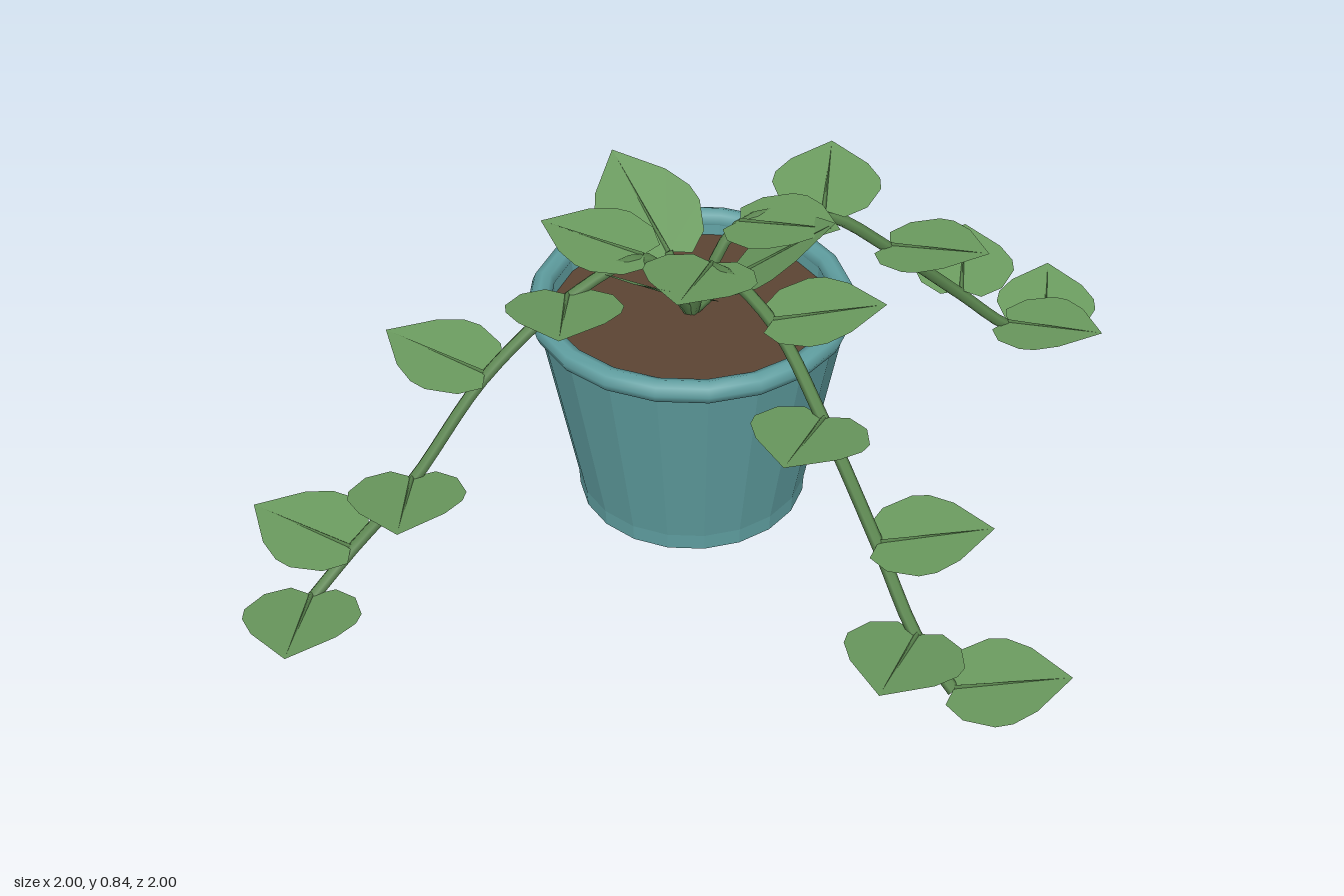
import * as THREE from 'three';

const mat = (name, color, opts = {}) => {
  const m = new THREE.MeshStandardMaterial({ color, ...opts });
  m.name = name;
  return m;
};

const CX = -0.045, CZ = -0.058; // pot axis
const SIDES = 20;
const V = (p) => new THREE.Vector3(...p);

// Heart-shaped leaf in the xz plane, stalk at the origin, tip towards +z
function leafGeometry() {
  const half = [[0, 0], [0.055, -0.022], [0.11, 0.015], [0.14, 0.085], [0.135, 0.125], [0.1, 0.18], [0, 0.265]];
  const fold = 0.06;
  const pos = [];
  for (const s of [1, -1]) {
    for (let i = 1; i < half.length - 1; i++) {
      const [a, b] = [half[i], half[i + 1]];
      const tri = [[0, 0], a, b].map(([x, z]) => [s * x, fold * x, z]);
      if (s > 0) tri.reverse();
      pos.push(...tri.flat());
    }
  }
  const g = new THREE.BufferGeometry();
  g.setAttribute('position', new THREE.Float32BufferAttribute(pos, 3));
  // keep the upper side facing +y
  g.computeVertexNormals();
  if (g.attributes.normal.getY(0) < 0) {
    const p = g.attributes.position, t = new THREE.Vector3(), u = new THREE.Vector3();
    for (let i = 0; i < p.count; i += 3) {
      t.fromBufferAttribute(p, i);
      u.fromBufferAttribute(p, i + 2);
      p.setXYZ(i, u.x, u.y, u.z);
      p.setXYZ(i + 2, t.x, t.y, t.z);
    }
    g.computeVertexNormals();
  }
  return g;
}

export function createModel() {
  const root = new THREE.Group();
  root.name = 'pottedTrailingPlant';

  const potMat = mat('potTeal', 0x5f9ea0, { flatShading: true });
  const rimMat = potMat.clone();
  rimMat.flatShading = false;
  const soilMat = mat('soilBrown', 0x5c4433);
  const leafMat = mat('leafGreen', 0x6b9b5f, { flatShading: true, side: THREE.DoubleSide });
  const stemMat = mat('stemGreen', 0x5c8750);

  const add = (parent, name, geo, material) => {
    const m = new THREE.Mesh(geo, material);
    m.name = name;
    parent.add(m);
    return m;
  };

  // Pot: straight foot, flared wall, rounded rim, soil
  const pot = new THREE.Group();
  pot.name = 'pot';
  pot.position.set(CX, 0, CZ);
  root.add(pot);
  const profile = [[0, 0], [0.3, 0], [0.302, 0.045], [0.395, 0.56], [0.385, 0.59], [0.36, 0.575], [0.355, 0.52]];
  add(pot, 'potBody', new THREE.LatheGeometry(profile.map(([x, y]) => new THREE.Vector2(x, y)), SIDES), potMat);
  const rim = add(pot, 'potRim', new THREE.TorusGeometry(0.386, 0.029, 8, SIDES), rimMat);
  rim.rotation.x = -Math.PI / 2;
  rim.position.y = 0.575;
  add(pot, 'soil', new THREE.CylinderGeometry(0.362, 0.34, 0.04, SIDES), soilMat).position.y = 0.52;

  // Leaf with a thin tapering midrib, aimed from its base at its tip
  const leafGeo = leafGeometry();
  const ribGeo = new THREE.ConeGeometry(0.006, 0.25, 4);
  ribGeo.rotateX(Math.PI / 2);
  ribGeo.translate(0, 0.001, 0.125);
  const addLeaf = (parent, base, tip, scale = 1) => {
    const leaf = new THREE.Group();
    leaf.name = 'leaf';
    add(leaf, 'leafBlade', leafGeo, leafMat);
    add(leaf, 'leafRib', ribGeo, stemMat);
    leaf.position.copy(V(base));
    leaf.scale.set(scale, 1, V(base).distanceTo(V(tip)) / 0.265);
    parent.add(leaf);
    leaf.lookAt(V(tip));
  };
  const addStem = (parent, name, points, radius, steps) =>
    add(parent, name, new THREE.TubeGeometry(new THREE.CatmullRomCurve3(points.map(V)), steps, radius, 6), stemMat);

  // Trailing vines: a leaf base and a leaf tip at each node
  const vines = {
    rightVine: [
      [[-0.14, 0.765, 0.05], [-0.405, 0.81, 0.02]],
      [[-0.29, 0.735, 0.21], [-0.24, 0.785, 0.465]],
      [[-0.46, 0.585, 0.36], [-0.72, 0.638, 0.31]],
      [[-0.61, 0.362, 0.515], [-0.555, 0.412, 0.775]],
      [[-0.74, 0.215, 0.63], [-1.0, 0.265, 0.585]],
      [[-0.81, 0.14, 0.735], [-0.77, 0.188, 0.997]],
    ],
    frontVine: [
      [[0.03, 0.765, 0.05], [0.0, 0.81, 0.305]],
      [[0.21, 0.735, 0.21], [0.47, 0.783, 0.165]],
      [[0.36, 0.585, 0.365], [0.31, 0.635, 0.625]],
      [[0.52, 0.36, 0.515], [0.78, 0.407, 0.468]],
      [[0.635, 0.212, 0.645], [0.58, 0.262, 0.905]],
      [[0.735, 0.14, 0.725], [0.995, 0.188, 0.688]],
    ],
    backVine: [
      [[0.06, 0.765, -0.15], [0.32, 0.81, -0.09]],
      [[0.25, 0.735, -0.285], [0.228, 0.785, -0.55]],
      [[0.415, 0.59, -0.385], [0.675, 0.637, -0.322]],
      [[0.6, 0.36, -0.55], [0.58, 0.407, -0.813]],
      [[0.73, 0.217, -0.635], [0.99, 0.265, -0.562]],
      [[0.835, 0.137, -0.735], [0.82, 0.186, -1.0]],
    ],
  };
  for (const [name, nodes] of Object.entries(vines)) {
    const vine = new THREE.Group();
    vine.name = name;
    root.add(vine);
    addStem(vine, 'vineStem', [[CX, 0.53, CZ], ...nodes.map(([b]) => [b[0], b[1] - 0.012, b[2]])], 0.016, 28);
    nodes.forEach(([base, tip]) => addLeaf(vine, base, tip));
  }

  // Steep young leaves on short stalks in the middle
  const young = [
    [[-0.12, 0.66, -0.13], [-0.305, 0.835, -0.305]],
    [[-0.065, 0.66, 0.05], [-0.11, 0.84, 0.285]],
    [[0.075, 0.66, -0.07], [0.31, 0.84, -0.07]],
  ];
  const crown = new THREE.Group();
  crown.name = 'youngLeaves';
  root.add(crown);
  for (const [base, tip] of young) {
    const mid = [(base[0] + CX) / 2, 0.6, (base[2] + CZ) / 2];
    addStem(crown, 'leafStalk', [[CX, 0.53, CZ], mid, base], 0.012, 6);
    addLeaf(crown, base, tip, 1.07);
  }
  return root;
}
